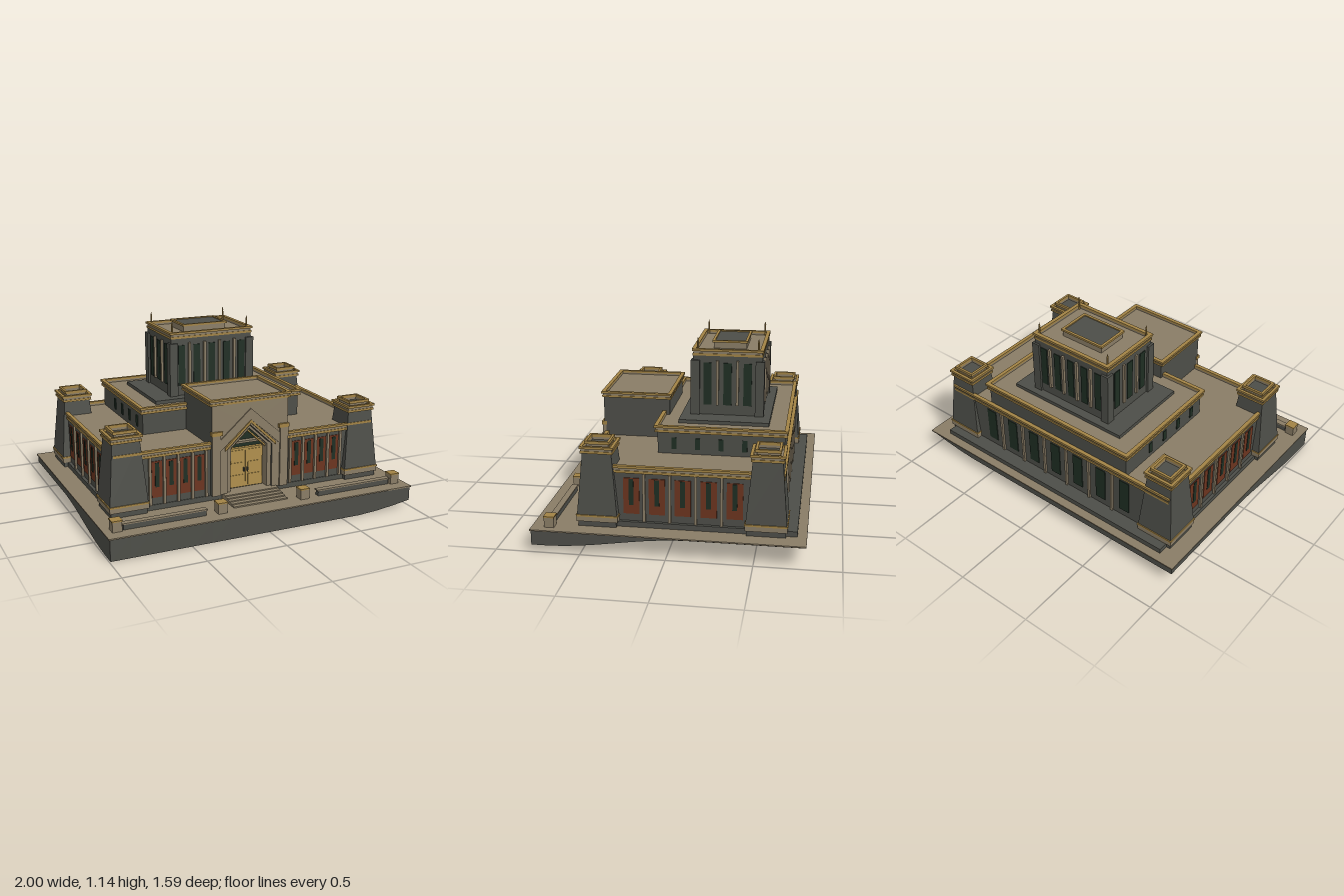
import * as THREE from 'three';

const mat = (name, color) => {
  const m = new THREE.MeshStandardMaterial({ color });
  m.name = name;
  return m;
};

export function createModel() {
  const root = new THREE.Group();
  root.name = 'monumentalBuilding';
  const stone = mat('darkStone', 0x4d4e48), tan = mat('tanStone', 0x8a7d66);
  const gold = mat('goldTrim', 0xa28345), glass = mat('greenGlass', 0x1f2e23);
  const red = mat('redPanel', 0x6c341f), brass = mat('brassDoor', 0xb0904d);

  const add = (name, geo, material) => {
    const m = new THREE.Mesh(geo, material);
    m.name = name;
    root.add(m);
    return m;
  };
  // Box given by its limits on each axis
  const box = (name, material, x0, x1, y0, y1, z0, z1) => {
    const g = new THREE.BoxGeometry(x1 - x0, y1 - y0, z1 - z0);
    g.translate((x0 + x1) / 2, (y0 + y1) / 2, (z0 + z1) / 2);
    return add(name, g, material);
  };
  // Box of half sizes hx, hz around a centre
  const block = (name, material, cx, cz, hx, hz, y0, y1) =>
    box(name, material, cx - hx, cx + hx, y0, y1, cz - hz, cz + hz);
  // Upright extrusion facing +z
  const extrudeZ = (name, material, shape, z0, z1) => {
    const g = new THREE.ExtrudeGeometry(shape, { depth: z1 - z0, bevelEnabled: false });
    return add(name, g.translate(0, 0, z0), material);
  };
  // Plan shape extruded upwards; plan y is -z
  const extrudeY = (name, material, shape, y0, y1) => {
    const g = new THREE.ExtrudeGeometry(shape, { depth: y1 - y0, bevelEnabled: false });
    return add(name, g.rotateX(-Math.PI / 2).translate(0, y0, 0), material);
  };
  const poly = pts => new THREE.Shape(pts.map(p => new THREE.Vector2(p[0], p[1])));
  const chevron = (w, yEnd, apex, t) =>
    poly([[-w, yEnd - t], [0, apex - t], [w, yEnd - t], [w, yEnd], [0, apex], [-w, yEnd]]);
  const rect = (cx, cz, hx, hz) =>
    poly([[cx - hx, -cz - hz], [cx + hx, -cz - hz], [cx + hx, -cz + hz], [cx - hx, -cz + hz]]);
  const ring = (outer, inner) => {
    outer.holes.push(inner);
    return outer;
  };
  // Parapet of gold, tan and gold bands around a sunken roof
  const cornice = (name, cx, cz, hx, hz, y0, y1, t = 0.024, roof = tan) => {
    const h = (y1 - y0) / 3;
    const inner = () => rect(cx, cz, hx - t, hz - t);
    block(name + 'LowerBand', gold, cx, cz, hx - 0.005, hz - 0.005, y0, y0 + h);
    extrudeY(name + 'Frieze', tan, ring(rect(cx, cz, hx - 0.009, hz - 0.009), inner()), y0 + h, y1 - h);
    extrudeY(name + 'UpperBand', gold, ring(rect(cx, cz, hx, hz), inner()), y1 - h, y1);
    block(name + 'Roof', roof, cx, cz, hx - t, hz - t, y0, y0 + h + 0.003);
  };

  // Ground slab with an uneven underside, under a paved forecourt
  const ground = new THREE.BoxGeometry(1.986, 0.132, 1.576, 16, 1, 16).translate(0, 0.066, 0);
  const gp = ground.attributes.position;
  for (let i = 0; i < gp.count; i++) {
    if (gp.getY(i) > 0.06) continue;
    const rise = 0.084 * THREE.MathUtils.smoothstep(-gp.getZ(i), -0.7, 0.12);
    const edge = Math.max(0, (gp.getX(i) - 0.62) / 0.373);
    gp.setY(i, rise + 0.042 * edge * Math.sqrt(edge));
  }
  ground.computeVertexNormals();
  add('groundSlab', ground, stone);
  block('paving', tan, 0, 0, 1, 0.795, 0.13, 0.138);
  box('plinth', stone, -0.875, 0.875, 0.13, 0.17, -0.74, 0.5);

  // Main storey, notched at the front for the portal
  const plan = (hx, z0, z1, n = 0.2, zn = 0.42) => poly([[-hx, -z1], [-n, -z1], [-n, -zn],
    [n, -zn], [n, -z1], [hx, -z1], [hx, -z0], [-hx, -z0]]);
  const roofPlan = () => plan(0.846, -0.641, 0.486, 0.23, 0.39);
  extrudeY('mainWalls', stone, plan(0.855, -0.65, 0.495), 0.17, 0.465);
  extrudeY('mainLowerBand', gold, plan(0.865, -0.66, 0.505), 0.465, 0.48);
  extrudeY('mainFrieze', tan, ring(plan(0.861, -0.656, 0.501), roofPlan()), 0.48, 0.495);
  extrudeY('mainUpperBand', gold, ring(plan(0.87, -0.665, 0.51), roofPlan()), 0.495, 0.51);
  extrudeY('mainRoof', tan, roofPlan(), 0.47, 0.484);

  // Front, side and rear bays
  for (const s of [-1, 1]) {
    for (let i = 0; i < 5; i++) {
      const x = s * (0.33 + i * 0.09);
      if (i < 4) {
        block('frontRedPanel', red, x, 0.496, 0.033, 0.004, 0.215, 0.44);
        block('frontWindow', glass, x, 0.499, 0.013, 0.004, 0.28, 0.43);
      }
      block('frontPilaster', tan, x - s * 0.045, 0.5, 0.008, 0.01, 0.17, 0.465);
      const z = 0.22 - i * 0.15;
      block('sideRedPanel', red, s * 0.856, z, 0.004, 0.047, 0.215, 0.435);
      block('sideWindow', glass, s * 0.859, z, 0.004, 0.014, 0.27, 0.43);
      if (i < 4) block('sidePilaster', tan, s * 0.858, z - 0.075, 0.01, 0.008, 0.17, 0.465);
    }
  }
  for (let i = -3; i <= 3; i++) {
    block('rearWindow', glass, i * 0.18, -0.651, 0.036, 0.004, 0.215, 0.445);
    if (i < 3) block('rearPilaster', tan, (i + 0.5) * 0.18, -0.653, 0.008, 0.01, 0.17, 0.465);
  }

  // Tapered corner pylons
  for (const x of [-0.787, 0.787]) for (const z of [-0.563, 0.415]) {
    block('pylonFooting', stone, x, z, 0.112, 0.112, 0.13, 0.17);
    block('pylonBase', tan, x, z, 0.121, 0.121, 0.17, 0.2);
    block('pylonBaseTrim', gold, x, z, 0.124, 0.124, 0.2, 0.211);
    const g = new THREE.BoxGeometry(0.236, 0.37, 0.236);
    const p = g.attributes.position;
    for (let i = 0; i < p.count; i++) if (p.getY(i) > 0) {
      p.setX(i, p.getX(i) * 0.72);
      p.setZ(i, p.getZ(i) * 0.72);
    }
    g.computeVertexNormals();
    add('pylonShaft', g.translate(x, 0.395, z), stone);
    cornice('pylonCap', x, z, 0.1, 0.1, 0.578, 0.62, 0.018);
    cornice('pylonTop', x, z, 0.074, 0.074, 0.592, 0.646, 0.015, stone);
  }

  // Second storey
  box('upperWalls', stone, -0.545, 0.545, 0.475, 0.625, -0.64, 0.12);
  cornice('upperCornice', 0, -0.26, 0.565, 0.4, 0.618, 0.66);
  for (const x of [-0.546, 0.546]) for (let i = 0; i < 4; i++)
    block('upperWindow', glass, x, 0.02 - i * 0.141, 0.004, 0.015, 0.514, 0.585);
  box('towerTerrace', stone, -0.415, 0.415, 0.625, 0.657, -0.535, 0.015);

  // Tower
  const tz = -0.267;
  block('towerWalls', stone, 0, tz, 0.28, 0.212, 0.65, 1.035);
  for (const s of [-1, 1]) {
    for (let i = -2; i <= 2; i++) {
      block('towerWindow', glass, i * 0.105, tz + s * 0.213, 0.023, 0.004, 0.72, 0.985);
      if (i < 2) block('towerPilaster', tan, (i + 0.5) * 0.105, tz + s * 0.217, 0.008, 0.012, 0.72, 1);
    }
    for (let i = -1; i <= 1; i++) {
      block('towerSideWindow', glass, s * 0.281, tz + i * 0.123, 0.004, 0.025, 0.72, 0.985);
      if (i < 1) block('towerSidePilaster', tan, s * 0.282, tz + (i + 0.5) * 0.123, 0.012, 0.008, 0.72, 1);
    }
    for (const t of [-1, 1]) {
      block('towerCornerPier', stone, s * 0.267, tz + t * 0.198, 0.027, 0.027, 0.65, 1);
      add('spireShaft', new THREE.CylinderGeometry(0.005, 0.006, 0.07, 8).translate(s * 0.262, 1.08, tz + t * 0.185), gold);
      add('spireTip', new THREE.ConeGeometry(0.006, 0.025, 8).translate(s * 0.262, 1.127, tz + t * 0.185), gold);
    }
  }
  cornice('towerCornice', 0, tz, 0.29, 0.219, 1.028, 1.07);
  block('towerCapBase', tan, 0, tz, 0.148, 0.102, 1.03, 1.083);
  extrudeY('towerCapTrim', gold, ring(rect(0, tz, 0.157, 0.11), rect(0, tz, 0.14, 0.094)), 1.083, 1.096);
  block('towerCapTop', stone, 0, tz, 0.14, 0.094, 1.08, 1.089);

  // Entrance block with gabled portal opening
  box('entranceBlock', stone, -0.255, 0.255, 0.17, 0.74, 0.095, 0.42);
  const face = poly([[-0.255, 0.17], [-0.15, 0.17], [-0.15, 0.45], [0, 0.59], [0.15, 0.45], [0.15, 0.17],
    [0.255, 0.17], [0.255, 0.74], [-0.255, 0.74]]);
  extrudeZ('entranceFace', [tan, stone], face, 0.42, 0.515);
  cornice('entranceCornice', 0, 0.304, 0.275, 0.223, 0.735, 0.772);
  extrudeZ('gableMoulding', tan, chevron(0.2, 0.52, 0.695, 0.07), 0.51, 0.523);
  extrudeZ('gableGoldTrim', gold, chevron(0.17, 0.467, 0.625, 0.02), 0.51, 0.528);
  extrudeZ('innerGable', tan, chevron(0.15, 0.445, 0.585, 0.02), 0.47, 0.5);
  extrudeZ('innerGableTrim', gold, chevron(0.15, 0.415, 0.555, 0.014), 0.45, 0.475);
  extrudeZ('transomGlass', glass, poly([[-0.15, 0.42], [0.15, 0.42], [0.15, 0.45], [0, 0.59], [-0.15, 0.45]]), 0.42, 0.426);
  box('lintel', tan, -0.13, 0.13, 0.46, 0.473, 0.42, 0.46);
  for (const s of [-1, 1]) {
    block('doorJamb', tan, s * 0.137, 0.46, 0.014, 0.04, 0.17, 0.46);
    block('doorLeaf', brass, s * 0.059, 0.435, 0.058, 0.015, 0.175, 0.428);
    for (const y of [0.185, 0.265, 0.345])
      block('doorPanel', brass, s * 0.059, 0.451, 0.042, 0.003, y, y + 0.07);
    block('doorHandle', stone, s * 0.012, 0.456, 0.003, 0.006, 0.275, 0.3);
    block('buttress', tan, s * 0.228, 0.515, 0.027, 0.012, 0.17, 0.55);
    block('buttressCap', gold, s * 0.225, 0.515, 0.036, 0.016, 0.55, 0.574);
  }

  // Entrance steps
  for (let i = 0; i < 5; i++)
    box('step', tan, -0.18, 0.18, 0.13, 0.146 + i * 0.007, 0.45, 0.67 - i * 0.03);

  // Forecourt piers with gold caps, and low walls
  for (const s of [-1, 1]) {
    for (const x of [0.275, 0.925]) {
      block('forecourtPier', tan, s * x, 0.69, 0.029, 0.029, 0.13, 0.198);
      block('forecourtPierCap', gold, s * x, 0.69, 0.032, 0.032, 0.198, 0.206);
    }
    block('lowWall', stone, s * 0.63, 0.69, 0.255, 0.015, 0.13, 0.17);
    block('lowWallCoping', tan, s * 0.63, 0.69, 0.262, 0.019, 0.17, 0.178);
  }
  return root;
}
